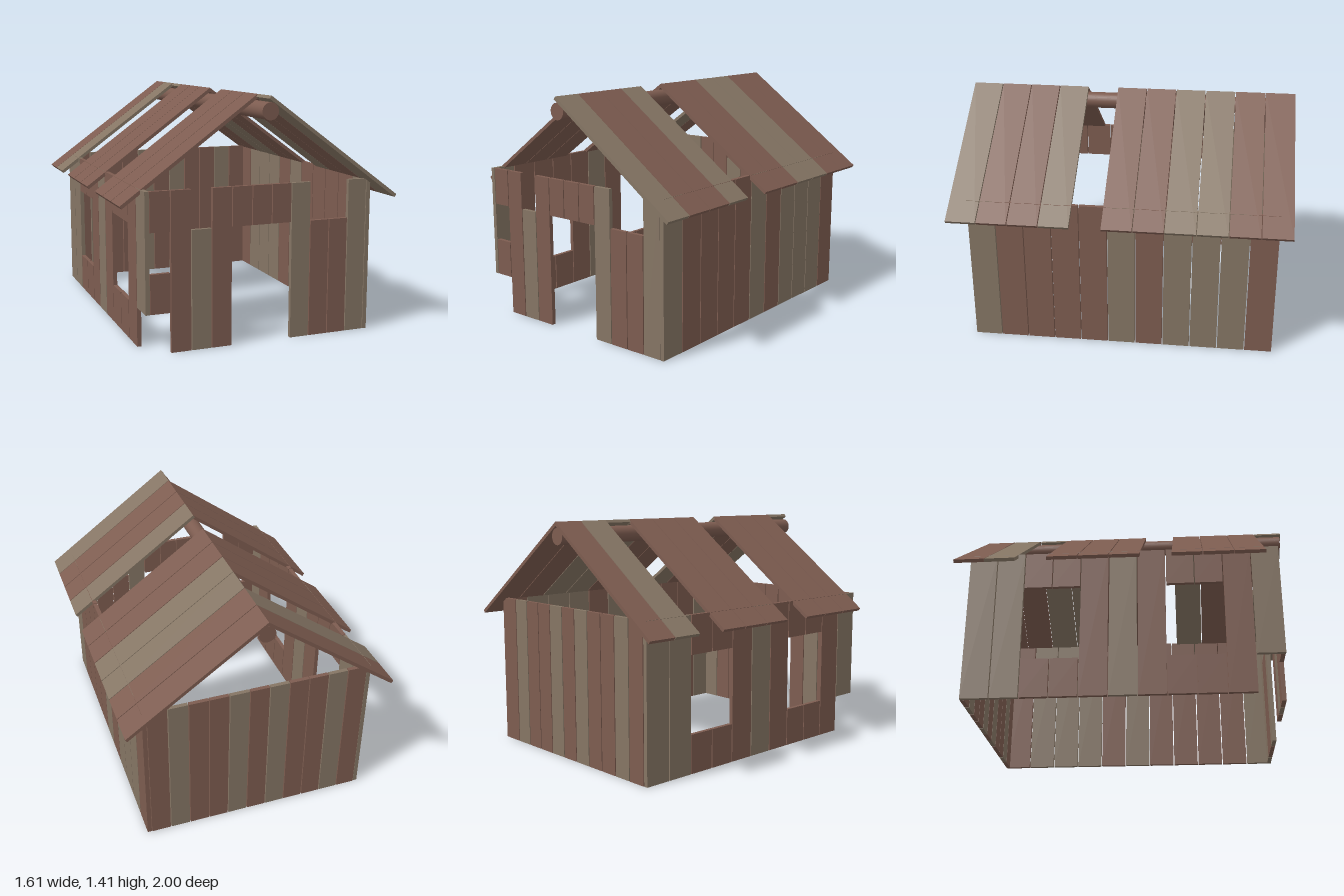
import * as THREE from 'three';

const brown = new THREE.MeshStandardMaterial({ color: 0x7d5c50, flatShading: true });
const tan = new THREE.MeshStandardMaterial({ color: 0x857564, flatShading: true });
const logMaterial = new THREE.MeshStandardMaterial({ color: 0x7d5c50 });

const COUNT = 11, TOP = 0.91, THICK = 0.025;
const FULL = [[0, TOP]];
const WINDOW = [[0, 0.23], [0.685, TOP]];

// One letter per plank: b = brown, t = tan, - = missing
const wood = (letter) => (letter === 't' ? tan : brown);

// A row of upright planks along local x; cuts gives the kept height ranges of broken planks
function plankWall(name, length, colors, cuts = {}) {
  const wall = new THREE.Group();
  wall.name = name;
  const pitch = length / COUNT;
  for (let i = 0; i < COUNT; i++) {
    for (const [low, high] of cuts[i] ?? FULL) {
      const plank = new THREE.Mesh(new THREE.BoxGeometry(pitch - 0.006, high - low, THICK), wood(colors[i]));
      plank.name = 'wallPlank';
      plank.position.set((i + 0.5) * pitch - length / 2, (low + high) / 2, 0);
      wall.add(plank);
    }
  }
  return wall;
}

// One roof slope; planks listed from the front end to the back end
function roofSlope(name, side, colors) {
  const slope = new THREE.Group();
  slope.name = name;
  const angle = Math.atan2(0.585, 0.805), length = 0.995, thick = 0.02;
  const pitch = 2.005 / COUNT;
  for (let i = 0; i < COUNT; i++) {
    if (colors[i] === '-') continue;
    const geometry = new THREE.BoxGeometry(length, thick, pitch - 0.005);
    geometry.translate(side * length / 2, -thick / 2, 0);
    const plank = new THREE.Mesh(geometry, wood(colors[i]));
    plank.name = 'roofPlank';
    plank.rotation.z = -side * angle;
    plank.position.set(0, 1.41, (COUNT / 2 - i - 0.5) * pitch);
    slope.add(plank);
  }
  return slope;
}

export function createModel() {
  const model = new THREE.Group();
  model.name = 'woodenHut';

  // Front wall: doorway in the middle, open windows and a broken corner plank
  const header = [[0.685, TOP]], sill = [[0, 0.685]];
  const front = plankWall('frontWall', 1.33, 'bbtbbbbtbbt', {
    0: [[0.23, 0.455], [0.685, TOP]], 2: sill, 4: header, 5: header, 6: header, 8: sill, 9: sill,
  });
  front.position.z = 0.885;

  // Back wall: solid
  const back = plankWall('backWall', 1.33, 'btbbtbtbbtb');
  back.position.z = -0.915;

  // Left wall (+x): solid, planks run from front to back
  const left = plankWall('leftWall', 1.83, 'tbbbbtbtttb');
  left.rotation.y = Math.PI / 2;
  left.position.set(0.6775, 0, -0.013);

  // Right wall (-x): two windows and a short front plank, planks run from back to front
  const right = plankWall('rightWall', 1.83, 'ttbbbtbbbbt', {
    2: WINDOW, 3: WINDOW, 7: WINDOW, 8: WINDOW, 10: [[0.23, TOP]],
  });
  right.rotation.y = -Math.PI / 2;
  right.position.set(-0.6775, 0, -0.013);

  // Ridge log under the roof peak
  const log = new THREE.Mesh(new THREE.CylinderGeometry(0.049, 0.049, 1.98, 32), logMaterial);
  log.name = 'ridgeLog';
  log.rotation.x = Math.PI / 2;
  log.position.y = 1.325;

  model.add(front, back, left, right, log,
    roofSlope('leftRoof', 1, 'tbbt-bbttbb'),
    roofSlope('rightRoof', -1, '-bbb-bbb-tb'));
  return model;
}
